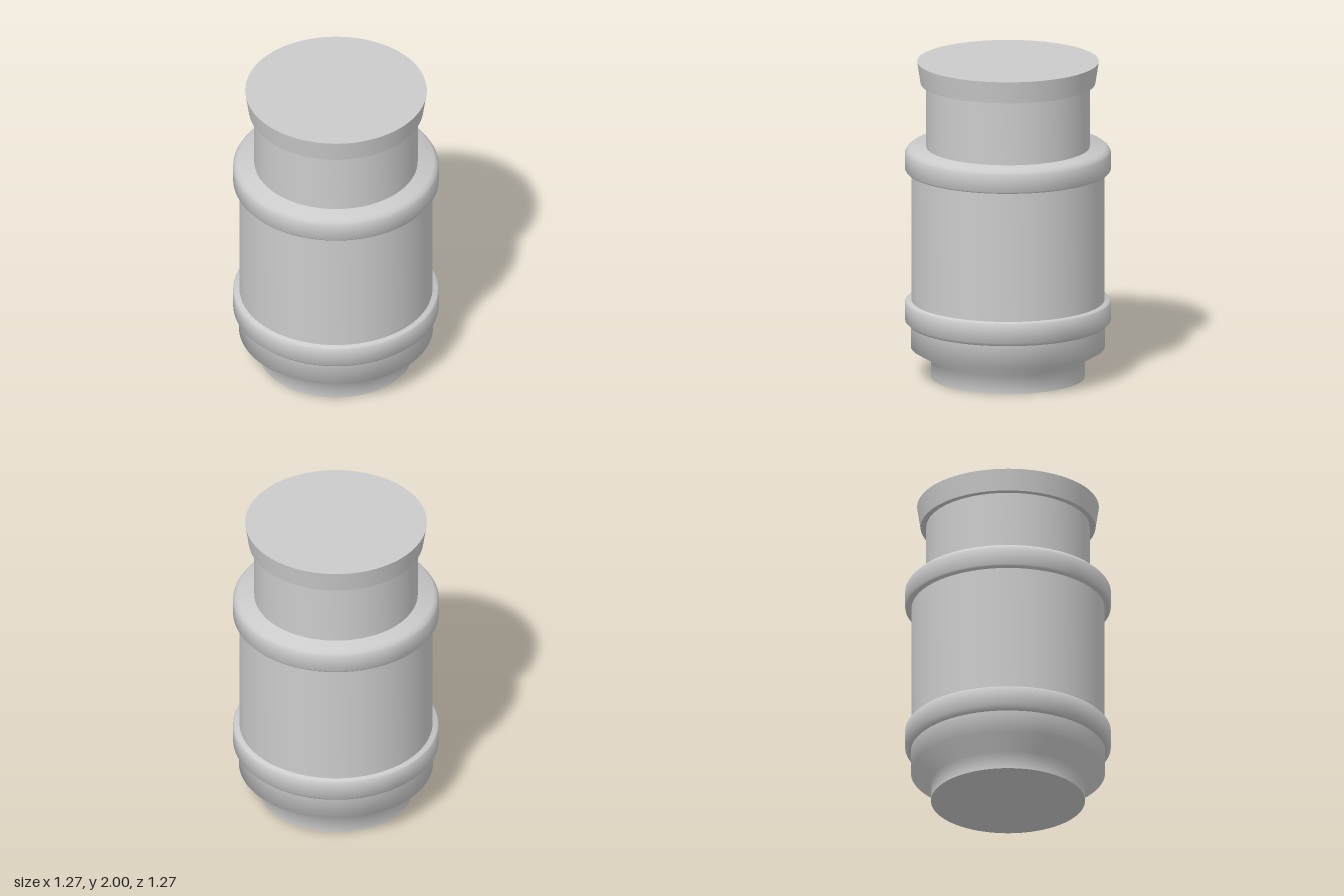
import * as THREE from 'three';
import { toCreasedNormals } from 'three/addons/utils/BufferGeometryUtils.js';

const SEGMENTS = 96;

export function createModel() {
  const group = new THREE.Group();
  const material = new THREE.MeshStandardMaterial({ color: 0xcccccc });

  // Turned solid: [radius, height] points from bottom to top, closed at the axis
  const turned = (name, profile) => {
    const points = [[0, profile[0][1]], ...profile, [0, profile.at(-1)[1]]]
      .map(([r, y]) => new THREE.Vector2(r, y));
    const geometry = toCreasedNormals(new THREE.LatheGeometry(points, SEGMENTS), 1.1);
    const mesh = new THREE.Mesh(geometry, material);
    mesh.name = name;
    group.add(mesh);
  };

  // Narrow foot flaring out into the lower bowl
  turned('base', [[0.476, 0], [0.476, 0.117], [0.6, 0.19], [0.6, 0.36]]);

  // Raised band with chamfered edges
  turned('lowerBand', [[0.6, 0.335], [0.612, 0.337], [0.635, 0.36], [0.635, 0.478], [0.627, 0.487]]);

  // Main barrel
  turned('body', [[0.596, 0.4], [0.596, 1.36]]);

  // Raised band with a wide rounded shoulder
  turned('upperBand', [[0.627, 1.308], [0.635, 1.318], [0.635, 1.425], [0.625, 1.443], [0.605, 1.46]]);

  // Neck and flared lid
  turned('neck', [[0.505, 1.42], [0.505, 1.88]]);
  turned('lid', [[0.54, 1.862], [0.561, 2]]);

  return group;
}
